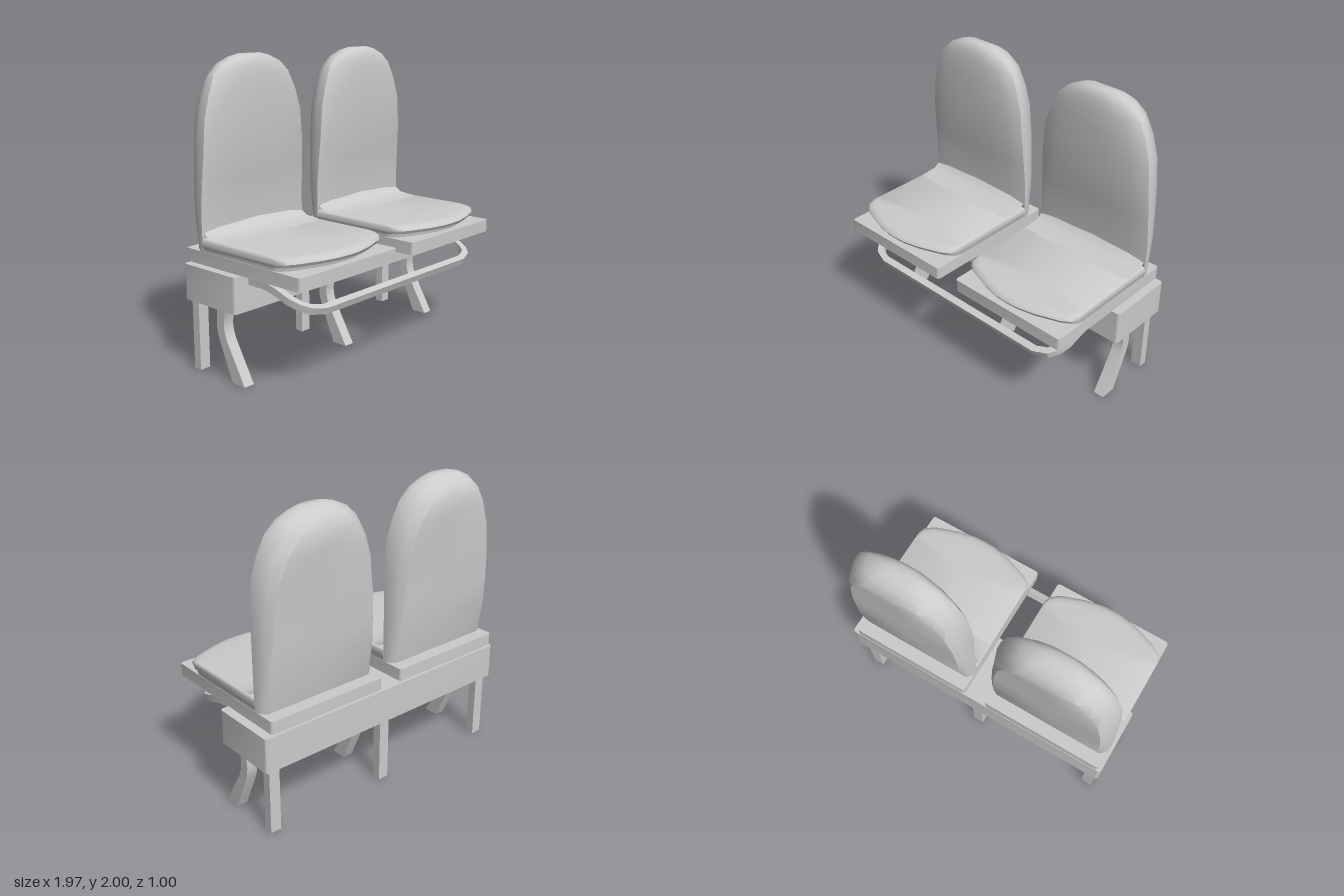
import * as THREE from 'three';
import { toCreasedNormals } from 'three/addons/utils/BufferGeometryUtils.js';

const grey = new THREE.MeshStandardMaterial({ color: 0xcccccc, side: THREE.DoubleSide });

// Skin a row of equal-sized rings; optionally close the last ring with a fan
function loft(name, rings, { cap = false, crease = 0.5 } = {}) {
  const n = rings[0].length;
  const pos = rings.flat(2);
  const idx = [];
  for (let r = 0; r + 1 < rings.length; r++) {
    for (let i = 0; i < n; i++) {
      const j = (i + 1) % n;
      const a = r * n + i, b = r * n + j;
      idx.push(a, b, b + n, a, b + n, a + n);
    }
  }
  if (cap) {
    const last = rings.length - 1;
    const centre = [0, 1, 2].map((k) => rings[last].reduce((s, p) => s + p[k], 0) / n);
    pos.push(...centre);
    for (let i = 0; i < n; i++) idx.push(rings.length * n, last * n + i, last * n + (i + 1) % n);
  }
  const g = new THREE.BufferGeometry();
  g.setAttribute('position', new THREE.Float32BufferAttribute(pos, 3));
  g.setIndex(idx);
  const mesh = new THREE.Mesh(toCreasedNormals(g, crease), grey);
  mesh.name = name;
  return mesh;
}

// Complete a +x half outline, listed front to back, with its mirror image
function mirrored(half) {
  const other = half.filter((p) => p[0] > 0).map(([x, y, z]) => [-x, y, z]).reverse();
  return [...half, ...other];
}

// Rounded rectangle half outline at height y
function roundedRing(y, hw, z0, z1, r) {
  const half = [];
  for (let i = 0; i <= 4; i++) {
    const a = (i / 4) * Math.PI / 2;
    half.push([hw - r + r * Math.sin(a), y, z1 - r + r * Math.cos(a)]);
  }
  for (let i = 0; i <= 4; i++) {
    const a = (i / 4) * Math.PI / 2;
    half.push([hw - r + r * Math.cos(a), y, z0 + r - r * Math.sin(a)]);
  }
  return mirrored(half);
}

// Shallow box with rounded upright corners, open underneath
function tray(name, hw, y0, y1, z0, z1) {
  return loft(name, [y0, y1].map((y) => roundedRing(y, hw, z0, z1, 0.02)), { cap: true, crease: 0.6 });
}

// Sweep a square bar along a path, keeping its top near the given up direction
function sweep(name, path, size, up) {
  const pts = path.map((p) => new THREE.Vector3(...p));
  const rings = pts.map((p, i) => {
    const t = pts[Math.min(i + 1, pts.length - 1)].clone().sub(pts[Math.max(i - 1, 0)]).normalize();
    const s = up.clone().cross(t).normalize();
    const u = t.clone().cross(s);
    return [[1, 1], [-1, 1], [-1, -1], [1, -1]].map(([a, b]) =>
      p.clone().addScaledVector(s, a * size / 2).addScaledVector(u, b * size / 2).toArray());
  });
  return loft(name, rings);
}

function backrest() {
  // height, half width, front centre z, rim z, back panel z, back panel half width
  const levels = [
    [0.80, 0.436, -0.32, -0.335, -0.41, 0.39],
    [1.05, 0.438, -0.32, -0.335, -0.45, 0.385],
    [1.23, 0.432, -0.295, -0.325, -0.46, 0.38],
    [1.40, 0.425, -0.275, -0.312, -0.468, 0.37],
    [1.62, 0.408, -0.265, -0.31, -0.478, 0.335],
    [1.76, 0.367, -0.265, -0.315, -0.486, 0.275],
    [1.875, 0.315, -0.267, -0.325, -0.49, 0.18],
    [1.94, 0.247, -0.276, -0.33, -0.455, 0.15],
    [1.98, 0.164, -0.29, -0.34, -0.41, 0.11],
    [1.998, 0.095, -0.31, -0.345, -0.375, 0.07],
  ];
  const rings = levels.map(([y, w, f, rim, b, p]) => {
    const d = f - rim;
    return mirrored([
      [0, y, f], [w * 0.35, y, f - d * 0.06], [w * 0.7, y, f - d * 0.3], [w * 0.93, y, f - d * 0.7],
      [w, y, rim], [w * 0.995, y, rim + (b - rim) * 0.3], [p + (w - p) * 0.6, y, rim + (b - rim) * 0.75],
      [p, y, b], [0, y, b],
    ]);
  });
  return loft('backrest', rings, { cap: true, crease: 0.75 });
}

function cushion() {
  const plan = [[0, 0.5], [0.08, 0.497], [0.2, 0.472], [0.36, 0.415], [0.42, 0.375], [0.438, 0.33], [0.438, -0.34], [0, -0.34]];
  // height and inset of each layer
  const layers = [[0.80, 0.05], [0.825, 0.045], [0.83, 0.012], [0.85, 0], [0.868, 0.01], [0.878, 0.035], [0.882, 0.07]];
  const rings = layers.map(([y, inset]) => mirrored(plan.map(([x, z]) =>
    [x * (1 - inset * 0.3), y, z > 0 ? z - inset : z])));
  return loft('seatCushion', rings, { cap: true, crease: 0.8 });
}

// Small ramp that joins the cushion to the backrest
function cushionFillet() {
  const rings = [-0.43, -0.3, 0, 0.3, 0.43].map((x) => {
    const k = 1 - 0.5 * Math.abs(x / 0.43) ** 2;
    return [[-0.12, 0.88], [-0.335, 0.875], [-0.325, 0.88 + 0.08 * k], [-0.285, 0.88 + 0.027 * k], [-0.2, 0.88 + 0.009 * k]]
      .map(([z, y]) => [x, y, z]);
  });
  return loft('cushionFillet', rings, { crease: 0.8 });
}

export function createModel() {
  const model = new THREE.Group();
  model.name = 'doubleSeat';

  // Two identical seats on their pans
  for (const [name, x] of [['rightSeat', -0.53], ['leftSeat', 0.5]]) {
    const seat = new THREE.Group();
    seat.name = name;
    seat.position.x = x;
    seat.add(tray('seatPan', 0.434, 0.715, 0.80, -0.5, 0.505), cushion(), cushionFillet(), backrest());
    model.add(seat);
  }

  // Cross beam
  const beam = tray('beam', 0.984, 0.465, 0.70, -0.5, -0.025);
  beam.position.x = -0.003;
  model.add(beam);

  // Straight rear legs and bowed front legs; each row is y, z of the front edge then the back edge
  const bow = [
    [0, 0.015, 0, -0.095], [0.265, -0.14, 0.265, -0.212], [0.315, -0.158, 0.315, -0.226],
    [0.36, -0.165, 0.36, -0.23], [0.45, -0.155, 0.465, -0.222], [0.51, -0.12, 0.56, -0.175], [0.535, -0.03, 0.6, -0.03],
  ];
  const straight = [[0, -0.402, 0, -0.462], [0.695, -0.402, 0.695, -0.462]];
  for (const x of [-0.923, 0.003, 0.9]) {
    for (const [name, rows] of [['frontLeg', bow], ['rearLeg', straight]]) {
      const leg = loft(name, rows.map(([yf, zf, yb, zb]) => mirrored([[0.038, yf, zf], [0.038, yb, zb]])));
      leg.position.x = x;
      model.add(leg);
    }
  }

  // U-shaped foot bar
  const side = [
    [0.848, 0.655, -0.08], [0.848, 0.655, 0.09], [0.848, 0.65, 0.14], [0.848, 0.638, 0.19],
    [0.845, 0.597, 0.31], [0.825, 0.574, 0.37], [0.785, 0.555, 0.415], [0.7, 0.539, 0.441],
  ];
  const other = side.map(([x, y, z]) => [-x, y, z]).reverse();
  const bar = sweep('footBar', [...side, ...other], 0.046, new THREE.Vector3(0, 0.94, 0.33));
  bar.position.x = -0.003;
  model.add(bar);

  return model;
}
